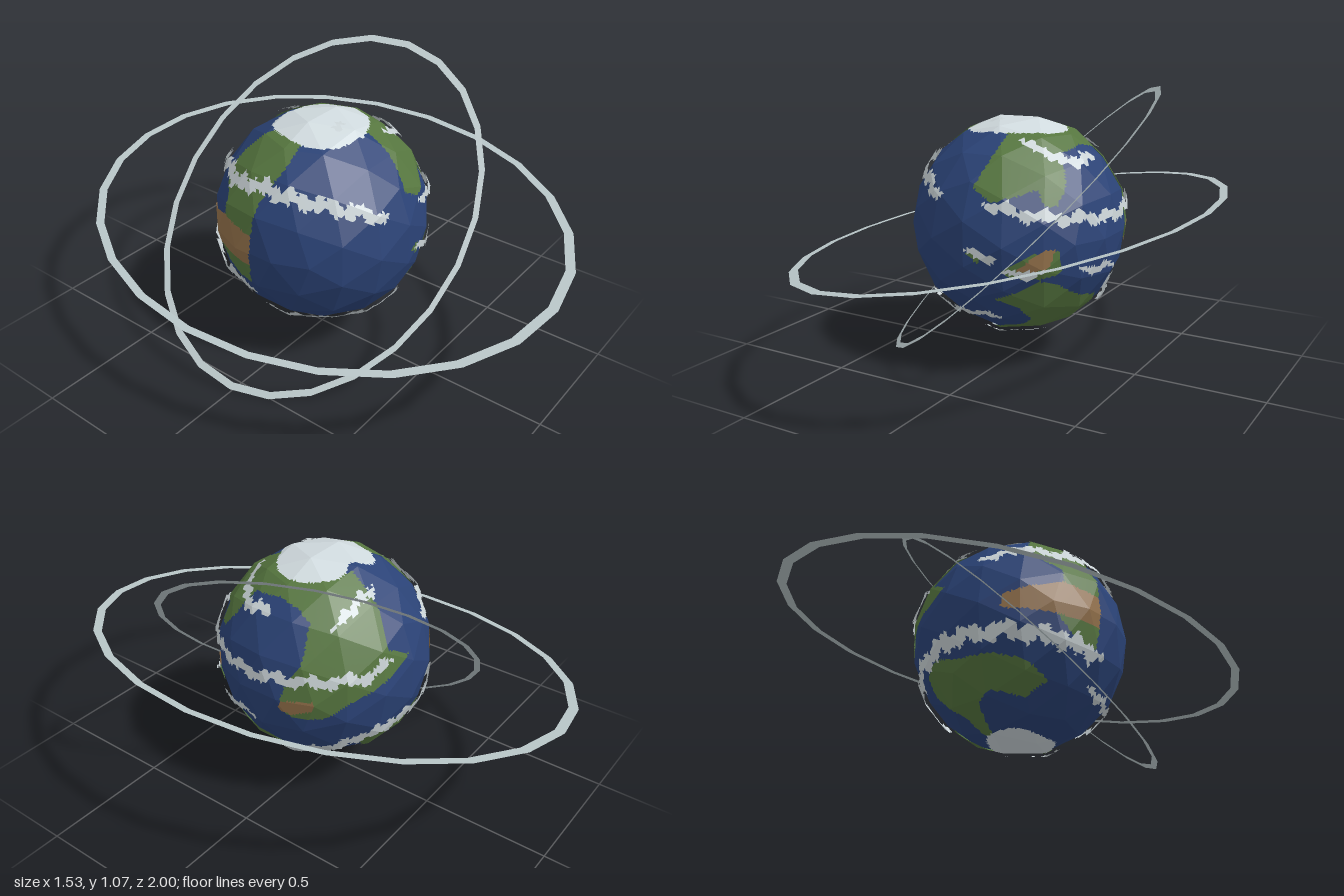
import * as THREE from 'three';

const R = 0.412, CENTRE_Y = 0.533, DEG = 180 / Math.PI;
const material = (name, color, side = THREE.FrontSide) => {
  const m = new THREE.MeshStandardMaterial({ color, side, flatShading: true });
  m.name = name;
  return m;
};

// Coastlines as [longitude, latitude]; longitude 0 faces +z, 90 faces +x
const LANDS = [
  [[3, 29], [15, 22], [40, 29], [43, 20], [50, 20], [58, 31], [62, 48], [90, 52], [108, 48], [117, 42],
    [115, 22], [106, 8], [103, -6], [112, -10], [126, -9], [140, 0], [160, 8], [177, 17], [163, 24],
    [167, 45], [167, 68], [17, 68], [10, 48]],
  [[235, 68], [228, 45], [232, 30], [245, 22], [245, 13], [213, 4], [212, -4], [240, -6], [255, -20],
    [266, -20], [268, 10], [270, 30], [280, 50], [285, 68]],
  [[20, -12], [36, -3], [50, -2], [52, -14], [40, -17], [25, -16]],
  [[2, -4], [8, -9], [11, -5], [8, -2]],
  [[15, -30], [30, -24], [40, -18], [52, -22], [66, -30], [90, -36], [100, -46], [128, -54], [110, -64],
    [60, -72], [0, -72], [-5, -66], [30, -60], [40, -50], [28, -36]],
  [[150, -38], [155, -28], [169, -22], [185, -26], [205, -26], [225, -30], [240, -40], [225, -50],
    [200, -44], [188, -50], [178, -74], [160, -74], [165, -55]],
];
const DESERTS = [
  [[212, -4], [213, 4], [245, 13], [268, 10], [267, -8], [240, -6]],
  [[103, -6], [104, 0], [122, 2], [120, -4], [110, -8]],
  [[28, -12], [36, -5], [42, -1], [48, -1], [45, -10], [36, -13]],
];
// Cloud streaks: centre line in [longitude, latitude], then half width in degrees
const CLOUDS = [
  [[[198, 27], [223, 34], [250, 33], [270, 37], [300, 34], [317, 31], [345, 22]], 4],
  [[[10, 22], [29, 17], [50, 14], [83, 11], [110, 13], [150, 14], [165, 20]], 3],
  [[[2, -3], [20, -5]], 3],
  [[[22, -13], [42, -12]], 2.5],
  [[[268, -39], [300, -41], [340, -42], [378, -41]], 2.5],
  [[[29, 59], [45, 50], [65, 41], [90, 43]], 3.5],
  [[[60, -13], [88, -15]], 2.5],
  [[[98, -42], [125, -35], [153, -23], [185, -16], [212, -16], [245, -19], [271, -23]], 4.5],
  [[[130, 38], [150, 50], [173, 55]], 3],
  [[[-25, -67], [20, -70], [60, -63]], 2],
  [[[-35, 74], [-5, 76]], 3],
];

const inPolygon = (x, y, pts) => pts.reduce((inside, [x1, y1], i) => {
  const [x2, y2] = pts[(i + 1) % pts.length];
  return (y1 > y) !== (y2 > y) && x < x1 + (x2 - x1) * (y - y1) / (y2 - y1) ? !inside : inside;
}, false);
const inAny = (polys, lon, lat) =>
  polys.some((p) => inPolygon(lon, lat, p) || inPolygon(lon - 360, lat, p));

// Is the point inside a streak that tapers at the ends and has a ragged edge?
function inStreak(lon, lat, [pts, width]) {
  const first = pts[0][0], last = pts[pts.length - 1][0];
  for (const l of [lon, lon - 360, lon + 360]) {
    if (l < first || l > last) continue;
    const i = pts.findIndex((p, k) => k > 0 && l <= p[0]);
    const [x1, y1] = pts[i - 1], [x2, y2] = pts[i];
    const middle = y1 + (y2 - y1) * (l - x1) / (x2 - x1) + 1.3 * Math.sin(l * 0.33);
    const taper = Math.min(1, 0.3 + Math.min(l - first, last - l) / 12);
    const ragged = 0.85 + 0.3 * Math.sin(l * 0.71 + width) + 0.15 * Math.sin(l * 1.9);
    if (Math.abs(lat - middle) < width * taper * ragged) return true;
  }
  return false;
}

function surfaceKind(lon, lat) {
  const notch = 10 * Math.exp(-(((lon - 178) / 22) ** 2));
  if (lat > 63.5 + notch + 1.5 * Math.sin(lon / 18) || lat < -71 + 2 * Math.sin(lon / 25)) return 'ice';
  if (inAny(DESERTS, lon, lat)) return 'desert';
  return inAny(LANDS, lon, lat) ? 'land' : 'ocean';
}
const cloudKind = (lon, lat) => (CLOUDS.some((c) => inStreak(lon, lat, c)) ? 'cloud' : 'none');

// Cut every facet of the globe into small coplanar triangles and sort them by kind
function sortedShells(globe, n, scale, kindOf) {
  const p = globe.attributes.position, shells = {};
  const [a, b, c, mid] = [0, 1, 2, 3].map(() => new THREE.Vector3());
  const at = (i, j) => new THREE.Vector3().addScaledVector(a, (n - i - j) / n)
    .addScaledVector(b, i / n).addScaledVector(c, j / n).multiplyScalar(scale);
  const add = (...tri) => {
    mid.copy(tri[0]).add(tri[1]).add(tri[2]).normalize();
    const lon = (Math.atan2(mid.x, mid.z) * DEG + 360) % 360;
    const kind = kindOf(lon, Math.asin(mid.y) * DEG);
    (shells[kind] ??= []).push(...tri);
  };
  for (let f = 0; f < p.count; f += 3) {
    [a, b, c].forEach((v, k) => v.fromBufferAttribute(p, f + k));
    for (let i = 0; i < n; i++) {
      for (let j = 0; j < n - i; j++) {
        add(at(i, j), at(i + 1, j), at(i, j + 1));
        if (i + j < n - 1) add(at(i + 1, j), at(i + 1, j + 1), at(i, j + 1));
      }
    }
  }
  return shells;
}

// Flat oval band spanned by two half axes
function bandGeometry(u, v, segments = 24, inner = 0.963) {
  const pos = [], index = [];
  for (let i = 0; i <= segments; i++) {
    const t = (i / segments) * Math.PI * 2;
    for (const s of [1, inner]) {
      pos.push(...[0, 1, 2].map((k) => s * (u[k] * Math.cos(t) + v[k] * Math.sin(t))));
    }
    if (i < segments) index.push(2 * i, 2 * i + 1, 2 * i + 2, 2 * i + 1, 2 * i + 3, 2 * i + 2);
  }
  const g = new THREE.BufferGeometry();
  g.setAttribute('position', new THREE.Float32BufferAttribute(pos, 3));
  g.setIndex(index);
  g.computeVertexNormals();
  return g;
}

export function createModel() {
  const group = new THREE.Group();
  group.name = 'ringedPlanet';
  const mats = {
    ocean: material('oceanBlue', 0x2b4377),
    land: material('landGreen', 0x56763f, THREE.DoubleSide),
    desert: material('desertBrown', 0x92704a, THREE.DoubleSide),
    ice: material('iceWhite', 0xd0dade, THREE.DoubleSide),
    cloud: material('cloudWhite', 0xcad3d6, THREE.DoubleSide),
    ring: material('ringGrey', 0xb9c6c8, THREE.DoubleSide),
  };
  const add = (name, geometry, mat) => {
    const mesh = new THREE.Mesh(geometry, mat);
    mesh.name = name;
    mesh.position.y = CENTRE_Y;
    group.add(mesh);
  };

  // Faceted ocean globe
  const globe = new THREE.IcosahedronGeometry(R, 2);
  add('ocean', globe, mats.ocean);

  // Continents, deserts and polar caps just above the water, clouds floating higher
  const shells = {
    ...sortedShells(globe, 14, 1.012, surfaceKind),
    ...sortedShells(globe, 12, 1.045, cloudKind),
  };
  for (const kind of ['land', 'desert', 'ice', 'cloud']) {
    const g = new THREE.BufferGeometry().setFromPoints(shells[kind]);
    g.computeVertexNormals();
    add(kind, g, mats[kind]);
  }

  // Two tilted oval rings
  add('outerRing', bandGeometry([0.765, 0.12, 0], [0, -0.025, 1]), mats.ring);
  add('innerRing', bandGeometry([0.585, 0.472, 0.14], [0, -0.251, 0.522]), mats.ring);
  return group;
}
